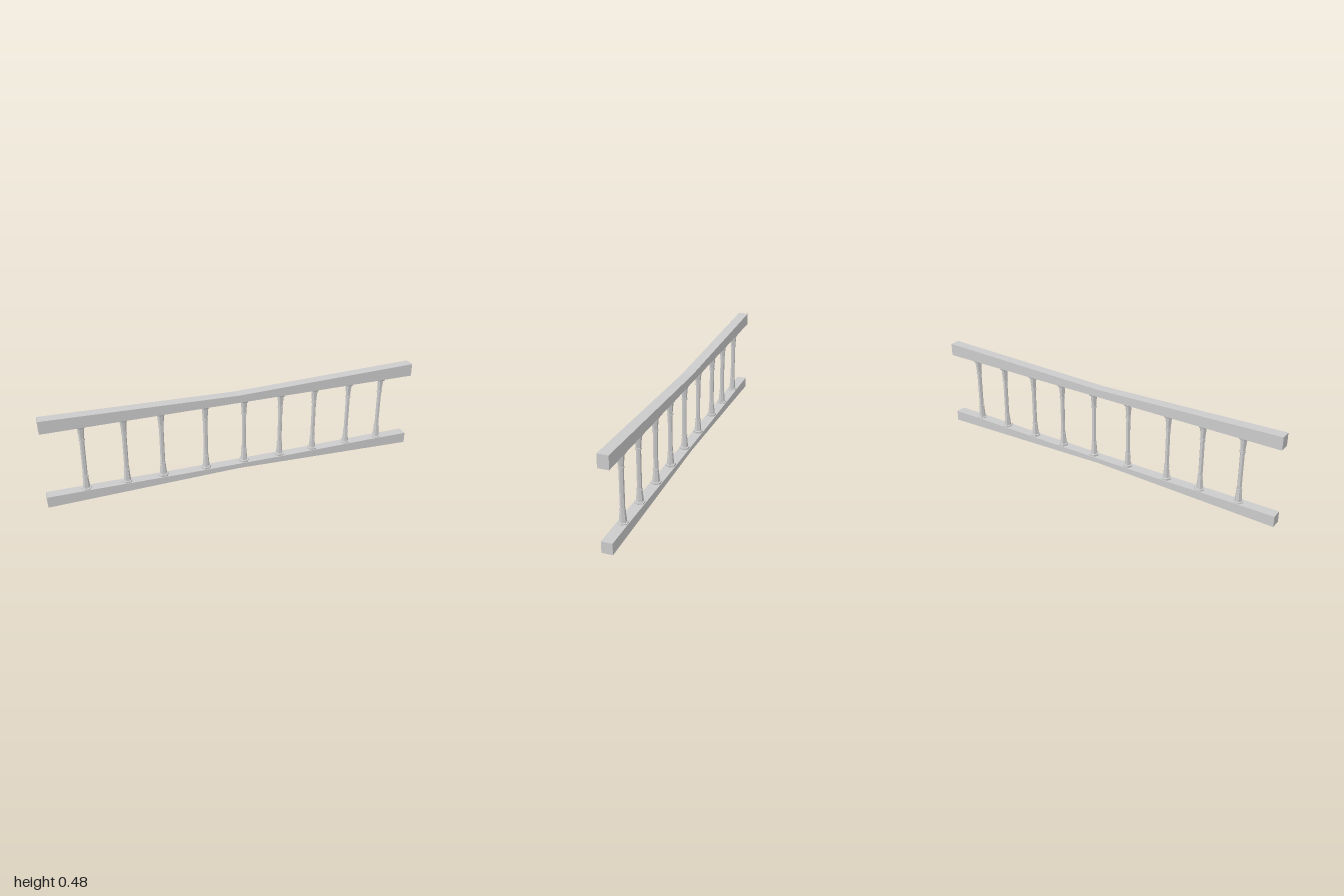
import * as THREE from 'three';

const material = new THREE.MeshStandardMaterial({ color: 0xcccccc, flatShading: true });
const DEPTH = 0.055;

// Rail: an outline in the xy plane, extruded to the rail's depth
function rail(name, outline) {
  const shape = new THREE.Shape(outline.map(([x, y]) => new THREE.Vector2(x, y)));
  const geometry = new THREE.ExtrudeGeometry(shape, { depth: DEPTH, bevelEnabled: false });
  geometry.translate(0, 0, -DEPTH / 2);
  const mesh = new THREE.Mesh(geometry, material);
  mesh.name = name;
  return mesh;
}

// Baluster: six-sided turned post with a corner towards each end of the rail
const profile = [
  [0.027, 0.045], [0.027, 0.063], [0.019, 0.064],   // plinth
  [0.0135, 0.126], [0.016, 0.126], [0.016, 0.132],  // flared foot and lower ring
  [0.012, 0.132], [0.012, 0.333],                   // shaft
  [0.016, 0.333], [0.016, 0.341], [0.0125, 0.341],  // upper ring
  [0.0185, 0.405], [0.025, 0.405], [0.028, 0.413], [0.028, 0.425], // flared head and cap
].map(([r, y]) => new THREE.Vector2(r, y));
const balusterGeometry = new THREE.LatheGeometry(profile, 6, Math.PI / 6);

export function createModel() {
  const model = new THREE.Group();
  model.name = 'balustrade';

  // Handrail dips to the middle, bottom rail arches underneath
  model.add(rail('topRail', [[-1, 0.414], [1, 0.414], [1, 0.482], [0, 0.455], [-1, 0.482]]));
  model.add(rail('bottomRail', [
    [-1, 0], [0, 0.027], [1, 0], [1, 0.058], [0.8, 0.058], [0.3, 0.053],
    [-0.3, 0.053], [-0.8, 0.058], [-1, 0.058],
  ]));

  // Unevenly spaced row of balusters
  for (const x of [-0.8, -0.59, -0.4, -0.168, 0.043, 0.246, 0.439, 0.639, 0.829]) {
    const post = new THREE.Mesh(balusterGeometry, material);
    post.name = 'baluster';
    post.position.x = x;
    model.add(post);
  }
  return model;
}
